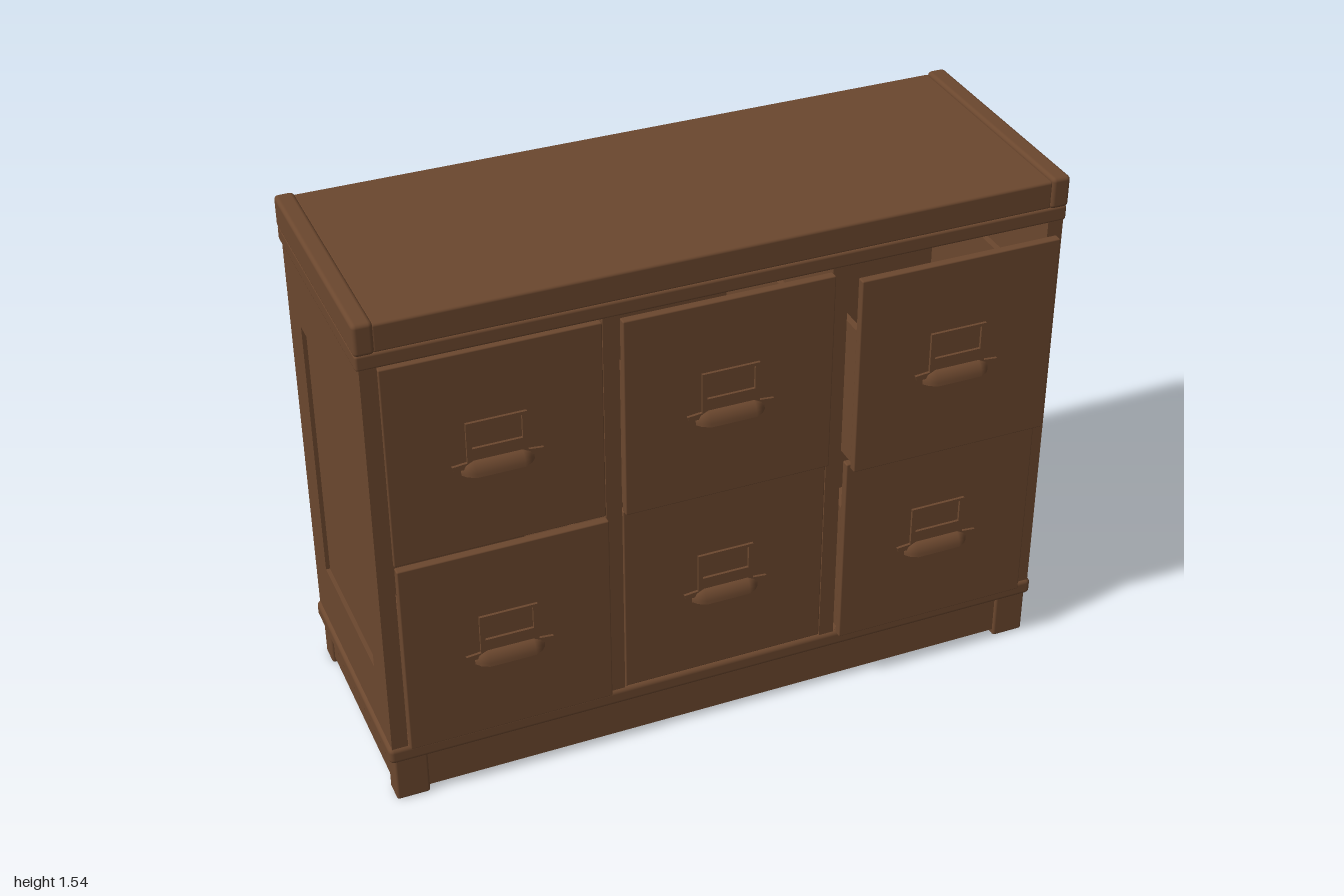
import * as THREE from 'three';
import { RoundedBoxGeometry } from 'three/addons/geometries/RoundedBoxGeometry.js';

const wood = new THREE.MeshStandardMaterial({ color: 0x6b472e, side: THREE.DoubleSide });
wood.name = 'brown wood';

function add(parent, name, geometry) {
  const mesh = new THREE.Mesh(geometry, wood);
  mesh.name = name;
  parent.add(mesh);
  return mesh;
}

// Box given by its limits, with optionally rounded edges
function box(parent, name, x0, x1, y0, y1, z0, z1, r = 0) {
  const s = [x1 - x0, y1 - y0, z1 - z0];
  const g = r ? new RoundedBoxGeometry(...s, 2, r) : new THREE.BoxGeometry(...s);
  g.translate((x0 + x1) / 2, (y0 + y1) / 2, (z0 + z1) / 2);
  return add(parent, name, g);
}

function rect(target, x0, x1, y0, y1) {
  target.moveTo(x0, y0);
  target.lineTo(x1, y0);
  target.lineTo(x1, y1);
  target.lineTo(x0, y1);
  target.closePath();
  return target;
}

// Hollow cup pull, lofted from quarter-round sections along x
function cupGeometry() {
  const stations = [[-0.1, 0.12], [-0.088, 0.6], [-0.066, 1], [0.066, 1], [0.088, 0.6], [0.1, 0.12]];
  const n = 6, pos = [], index = [];
  stations.forEach(([x, s], i) => {
    for (let j = 0; j <= n; j++) {
      const t = (j / n) * Math.PI / 2;
      pos.push(x, 0.042 * Math.sqrt(s) * Math.sin(t), 0.03 * s * Math.cos(t));
      if (i < stations.length - 1 && j < n) {
        const a = i * (n + 1) + j, b = a + n + 1;
        index.push(a, b, a + 1, b, b + 1, a + 1);
      }
    }
  });
  const g = new THREE.BufferGeometry();
  g.setAttribute('position', new THREE.Float32BufferAttribute(pos, 3));
  g.setIndex(index);
  g.computeVertexNormals();
  return g;
}

// Label holder with an open window and small wings beside the pull
function holderGeometry() {
  const s = new THREE.Shape();
  [[-0.12, 0.018], [0.12, 0.018], [0.125, 0.032], [0.083, 0.036], [0.083, 0.155],
    [-0.083, 0.155], [-0.083, 0.036], [-0.125, 0.032]]
    .forEach(([x, y], i) => (i ? s.lineTo(x, y) : s.moveTo(x, y)));
  s.closePath();
  s.holes.push(rect(new THREE.Path(), -0.069, 0.069, 0.076, 0.146));
  return new THREE.ExtrudeGeometry(s, { depth: 0.008, bevelEnabled: false });
}

const cup = cupGeometry();
const holder = holderGeometry();

// Drawer: tall front, lower open box behind, and its pull
function drawer(parent, name, x0, x1, y0, front) {
  const g = new THREE.Group();
  g.name = name;
  parent.add(g);
  const y1 = y0 + 0.605, back = front - 0.66, f = front - 0.025;
  const top = y0 + 0.43, a = x0 + 0.01, b = x1 - 0.01;
  box(g, 'drawerFront', x0, x1, y0, y1, f, front, 0.004);
  box(g, 'drawerSide', a, a + 0.018, y0 + 0.008, top, back, f);
  box(g, 'drawerSide', b - 0.018, b, y0 + 0.008, top, back, f);
  box(g, 'drawerBack', a, b, y0 + 0.008, top, back, back + 0.018);
  box(g, 'drawerBottom', a, b, y0 + 0.008, y0 + 0.026, back, f);
  const mid = (x0 + x1) / 2, y = y0 + 0.242;
  add(g, 'labelHolder', holder).position.set(mid, y, front);
  add(g, 'cupPull', cup).position.set(mid, y, front);
}

export function createModel() {
  const model = new THREE.Group();
  model.name = 'drawerCabinet';

  // Carcass
  box(model, 'backPanel', -0.988, 0.988, 0.18, 1.415, -0.41, -0.39);
  box(model, 'floorPanel', -0.98, 0.98, 0.165, 0.19, -0.4, 0.305);
  for (const [x0, x1] of [[-0.35, -0.305], [0.3, 0.345]]) {
    box(model, 'divider', x0, x1, 0.185, 1.415, -0.39, 0.31);
  }

  // Side walls with a sunken panel
  const frame = rect(new THREE.Shape(), -0.41, 0.31, 0.18, 1.415);
  frame.holes.push(rect(new THREE.Path(), -0.285, 0.19, 0.39, 1.205));
  const frameGeo = new THREE.ExtrudeGeometry(frame, { depth: 0.012, bevelEnabled: false });
  frameGeo.rotateY(-Math.PI / 2);
  for (const s of [-1, 1]) {
    add(model, 'sideFrame', frameGeo).position.x = s > 0 ? 0.99 : -0.978;
    box(model, 'sidePanel', s * 0.961 - 0.017, s * 0.961 + 0.017, 0.18, 1.415, -0.41, 0.31);
  }

  // Top with raised end rails
  box(model, 'topMoulding', -0.998, 0.998, 1.41, 1.456, -0.415, 0.312, 0.008);
  box(model, 'topBoard', -0.95, 0.95, 1.452, 1.535, -0.415, 0.308, 0.008);
  for (const s of [-1, 1]) {
    box(model, 'endRail', s * 0.9725 - 0.0275, s * 0.9725 + 0.0275, 1.452, 1.545, -0.415, 0.315, 0.012);
  }

  // Base moulding frame, aprons and feet
  for (const [z0, z1] of [[0.245, 0.317], [-0.417, -0.345]]) {
    box(model, 'baseMoulding', -1, 1, 0.137, 0.19, z0, z1, 0.015);
  }
  box(model, 'frontApron', -0.95, 0.95, 0.02, 0.15, 0.275, 0.3);
  box(model, 'backApron', -0.95, 0.95, 0.02, 0.15, -0.4, -0.375);
  for (const s of [-1, 1]) {
    box(model, 'baseMoulding', s * 0.965 - 0.035, s * 0.965 + 0.035, 0.137, 0.19, -0.417, 0.317, 0.015);
    box(model, 'sideApron', s * 0.965 - 0.0125, s * 0.965 + 0.0125, 0.02, 0.15, -0.38, 0.28);
    for (const [z0, z1] of [[0.24, 0.308], [-0.408, -0.34]]) {
      box(model, 'foot', s * 0.9375 - 0.0485, s * 0.9375 + 0.0485, 0, 0.15, z0, z1, 0.008);
    }
  }

  // Drawers, each pulled out by its own amount
  const columns = [[-0.943, -0.352], [-0.303, 0.298], [0.347, 0.938]];
  const fronts = [[0.335, 0.312, 0.345], [0.314, 0.333, 0.388]];
  fronts.forEach((row, r) => row.forEach((front, c) => {
    const name = (r ? 'upper' : 'lower') + 'Drawer' + (c + 1);
    drawer(model, name, ...columns[c], r ? 0.799 : 0.192, front);
  }));
  return model;
}
